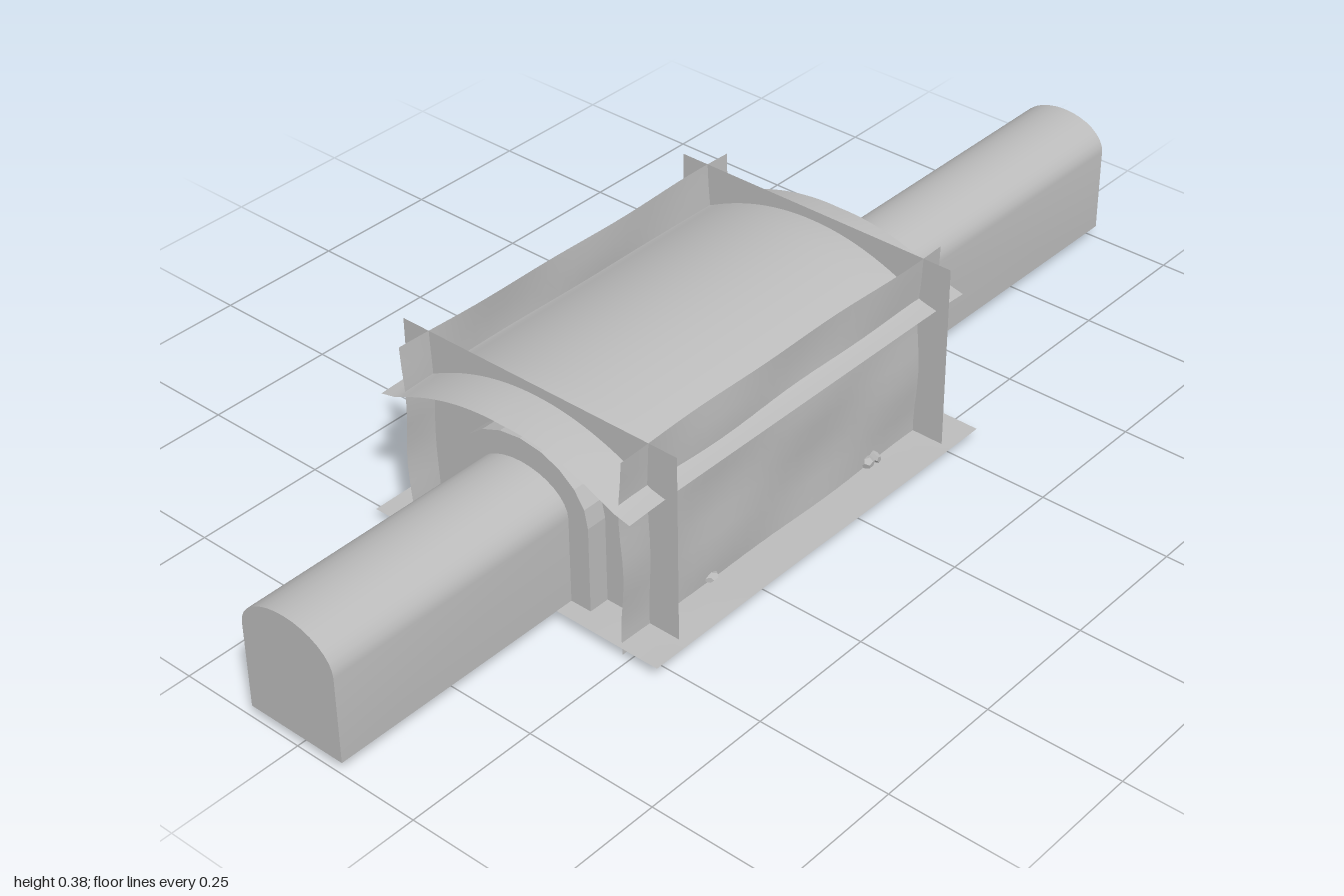
import * as THREE from 'three';
import { toCreasedNormals } from 'three/addons/utils/BufferGeometryUtils.js';
import { ParametricGeometry } from 'three/addons/geometries/ParametricGeometry.js';

const FLOOR = 0.024, SPRING = 0.19, WALL_TOP = 0.38;
const FRONT = 0.455, BACK = -0.235, SIDE = 0.235;

export function createModel() {
  const model = new THREE.Group();
  model.name = 'vaultedChamber';
  const stone = new THREE.MeshStandardMaterial({ color: 0xbcbcbc, side: THREE.DoubleSide });
  stone.name = 'grey stone';

  const add = (name, geometry, parent = model) => {
    const mesh = new THREE.Mesh(geometry, stone);
    mesh.name = name;
    parent.add(mesh);
    return mesh;
  };
  // Curved sheet from a rule of (u, v) that returns [x, y, z]
  const sheet = (rule, nu, nv) => toCreasedNormals(
    new ParametricGeometry((u, v, p) => p.set(...rule(u, v)), nu, nv), 0.6);
  const mix = THREE.MathUtils.lerp;
  const wave = (a, b) => Math.sin(a * 13 + 1) * Math.cos(b * 9 + a * 4);

  // Half-round doorway outline, from right foot over the crown to left foot
  const archPoint = (t, rx, ry) =>
    new THREE.Vector2(Math.cos(t * Math.PI) * rx, SPRING + Math.sin(t * Math.PI) * ry);
  const archOutline = (rx, ry, steps = 16) => {
    const pts = [new THREE.Vector2(rx, FLOOR)];
    for (let i = 0; i <= steps; i++) pts.push(archPoint(i / steps, rx, ry));
    pts.push(new THREE.Vector2(-rx, FLOOR));
    return pts;
  };

  // Floor, slightly uneven
  add('floor', sheet((u, v) => {
    const x = mix(-0.315, 0.315, u), z = mix(0.53, -0.31, v);
    return [x, FLOOR + 0.0012 * wave(x, z), z];
  }, 16, 20));

  // Side walls, gently rippled and running past the corners
  for (const s of [-1, 1]) {
    add(s > 0 ? 'leftWall' : 'rightWall', sheet((u, v) => {
      const z = mix(0.52, -0.285, u), y = mix(0, WALL_TOP, v);
      return [s * (SIDE + 0.004 * wave(z, y * 3)), y, z];
    }, 24, 10));
  }

  // Barrel vault with flat lips at the sides and drooping ends
  add('vaultedCeiling', sheet((u, v) => {
    const x = mix(-0.27, 0.27, u), z = mix(0.537, -0.31, v);
    const ax = Math.abs(x);
    const crown = ax < SIDE ? 0.362 - 0.065 * (ax / SIDE) ** 2
      : mix(0.297, 0.289, (ax - SIDE) / 0.035);
    const edge = Math.max(0, (z - 0.41) / 0.127, (-0.19 - z) / 0.12);
    const droop = 0.012 * edge * edge * (1 - 0.7 * Math.min(1, ax / SIDE));
    return [x, crown - droop, z];
  }, 36, 28));

  // Each end: wall with doorway, stone surround and tunnel
  const ends = [
    { name: 'front', z: FRONT, dir: 1, end: 1, rx: 0.1, ry: 0.065 },
    { name: 'back', z: BACK, dir: -1, end: -1, rx: 0.092, ry: 0.06 },
  ];
  for (const e of ends) {
    const wall = new THREE.Shape([
      new THREE.Vector2(-0.295, 0), new THREE.Vector2(0.295, 0),
      new THREE.Vector2(0.295, WALL_TOP), new THREE.Vector2(-0.295, WALL_TOP)]);
    wall.holes.push(new THREE.Path(archOutline(e.rx, e.ry)));
    add(e.name + 'Wall', new THREE.ShapeGeometry(wall)).position.z = e.z;

    // Tunnel shell: arch outline plus its floor, closed at the far end
    const ring = archOutline(e.rx, e.ry);
    ring.push(ring[0]);
    const n = ring.length - 1;
    add(e.name + 'Tunnel', sheet((u, v) => {
      const p = ring[Math.round(u * n)];
      return [p.x, p.y, mix(e.z, e.end, v)];
    }, n, 1));
    add(e.name + 'TunnelEnd', new THREE.ShapeGeometry(new THREE.Shape(archOutline(e.rx, e.ry))))
      .position.z = e.end;

    // Doorway blocks: stacked jambs and wedge stones
    const surround = new THREE.Group();
    surround.name = e.name + 'DoorSurround';
    surround.position.z = e.dir > 0 ? e.z : e.z - 0.04;
    model.add(surround);
    const block = (name, pts) => add(name, new THREE.ExtrudeGeometry(new THREE.Shape(pts),
      { depth: 0.04, bevelEnabled: false }), surround);
    const levels = [FLOOR, 0.065, 0.106, 0.149, SPRING];
    for (const s of [-1, 1]) {
      for (let i = 0; i < 4; i++) {
        block('jambStone', [[0.095, i], [0.142, i], [0.142, i + 1], [0.095, i + 1]]
          .map(([x, k]) => new THREE.Vector2(s * x, levels[k])));
      }
    }
    const stones = 10;
    for (let i = 0; i < stones; i++) {
      const a = i / stones, b = (i + 1) / stones;
      block('wedgeStone', [archPoint(a, 0.095, 0.063), archPoint(a, 0.142, 0.11),
        archPoint(b, 0.142, 0.11), archPoint(b, 0.095, 0.063)]);
    }
  }

  // Pebbles lodged at the foot of the side walls
  const pebbles = [[0.237, 0.31], [0.237, -0.1], [0.236, -0.12], [-0.237, -0.09],
    [-0.236, -0.11], [-0.237, 0.14]];
  pebbles.forEach(([x, z], i) => {
    const pebble = add('pebble', new THREE.DodecahedronGeometry(0.012));
    pebble.position.set(x, 0.033, z);
    pebble.rotation.set(i, i * 2, 0);
    pebble.scale.set(1, 0.75, 1.2);
  });

  return model;
}
